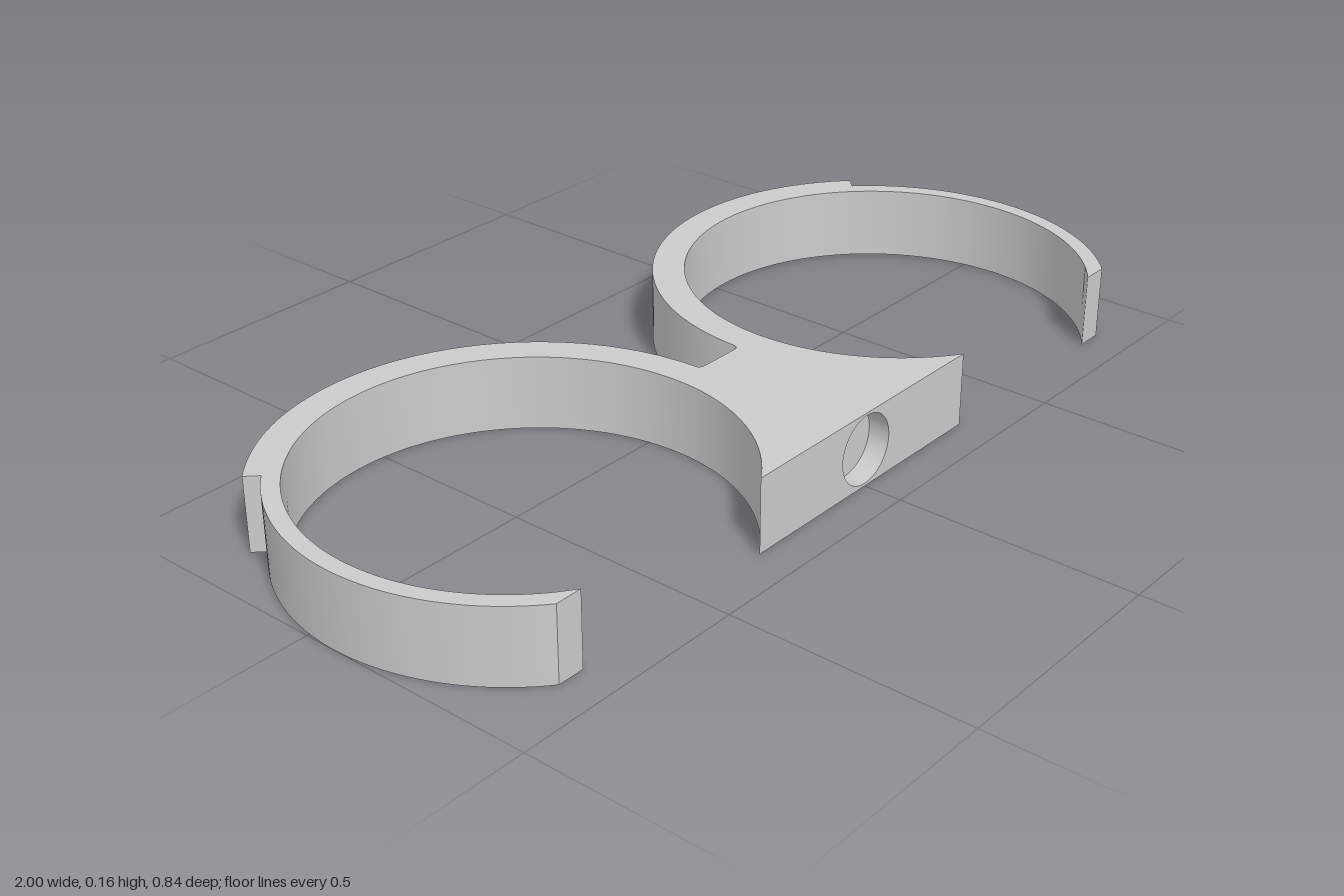
import * as THREE from 'three';
import { toCreasedNormals } from 'three/addons/utils/BufferGeometryUtils.js';

const H = 0.155;            // height of the whole clip
const CX = 0.546, CZ = 0.068; // ring centre
const R_IN = 0.42, R_THIN = 0.454, R_THICK = 0.487;
const FRONT = 0.419;        // flat front plane
const HOLE_R = 0.072, HOLE_DEPTH = 0.045;

// Points on an arc around the ring centre, in plan (x, -z)
function arc(r, from, to, n) {
  return Array.from({ length: n + 1 }, (_, i) => {
    const a = from + (to - from) * i / n;
    return new THREE.Vector2(CX + r * Math.cos(a), -CZ + r * Math.sin(a));
  });
}

// Plan outline of one half: inner ring, thin arm, step, thick arm, web fillet
function halfOutline() {
  const cut = r => Math.asin((FRONT - CZ) / r);
  const fillet = 0.014;
  const web = new THREE.QuadraticBezierCurve(
    new THREE.Vector2(CX - R_THICK, -CZ + fillet),
    new THREE.Vector2(CX - R_THICK, -CZ),
    new THREE.Vector2(CX - R_THICK + -fillet, -CZ));
  return [
    ...arc(R_IN, Math.PI + cut(R_IN), -cut(R_IN), 120),
    ...arc(R_THIN, -cut(R_THIN), Math.PI / 4, 50),
    ...arc(R_THICK, Math.PI / 4, Math.PI - 0.04, 70),
    ...web.getPoints(5),
  ];
}

// Drop the plain front wall so that a drilled one can take its place
function withoutFrontWall(geo) {
  const p = geo.attributes.position, kept = [];
  for (let i = 0; i < p.count; i += 3) {
    const wall = [0, 1, 2].every(k =>
      Math.abs(p.getZ(i + k) - FRONT) < 1e-4 && Math.abs(p.getX(i + k)) < 0.4);
    if (!wall) for (let k = 0; k < 3; k++) kept.push(p.getX(i + k), p.getY(i + k), p.getZ(i + k));
  }
  const out = new THREE.BufferGeometry();
  out.setAttribute('position', new THREE.Float32BufferAttribute(kept, 3));
  return out;
}

export function createModel() {
  const group = new THREE.Group();
  group.name = 'doubleRingClip';
  const grey = new THREE.MeshStandardMaterial({ color: 0xcccccc });
  const inside = new THREE.MeshStandardMaterial({ color: 0xcccccc, side: THREE.BackSide });
  const add = (name, geo, mat = grey) => {
    const mesh = new THREE.Mesh(geo, mat);
    mesh.name = name;
    group.add(mesh);
    return mesh;
  };

  // Both open rings and the flared base, mirrored about x = 0
  const half = halfOutline();
  const mirrored = half.map(v => new THREE.Vector2(-v.x, v.y)).reverse();
  const body = new THREE.ExtrudeGeometry(new THREE.Shape([...half, ...mirrored]),
    { depth: H, bevelEnabled: false });
  body.rotateX(-Math.PI / 2);
  add('ringsAndBase', toCreasedNormals(withoutFrontWall(body), 0.45));

  // Front wall with the round hole
  const w = half[0].x;
  const wall = new THREE.Shape([
    new THREE.Vector2(-w, 0), new THREE.Vector2(w, 0),
    new THREE.Vector2(w, H), new THREE.Vector2(-w, H)]);
  wall.holes.push(new THREE.Path().absarc(0, H / 2, HOLE_R, 0, Math.PI * 2, true));
  add('frontWall', new THREE.ShapeGeometry(wall, 32)).position.z = FRONT;

  // Blind hole: side and floor
  const side = new THREE.CylinderGeometry(HOLE_R, HOLE_R, HOLE_DEPTH, 64, 1, true);
  side.rotateX(Math.PI / 2);
  add('holeSide', side, inside).position.set(0, H / 2, FRONT - HOLE_DEPTH / 2);
  add('holeFloor', new THREE.CircleGeometry(HOLE_R, 64)).position.set(0, H / 2, FRONT - HOLE_DEPTH);

  return group;
}
